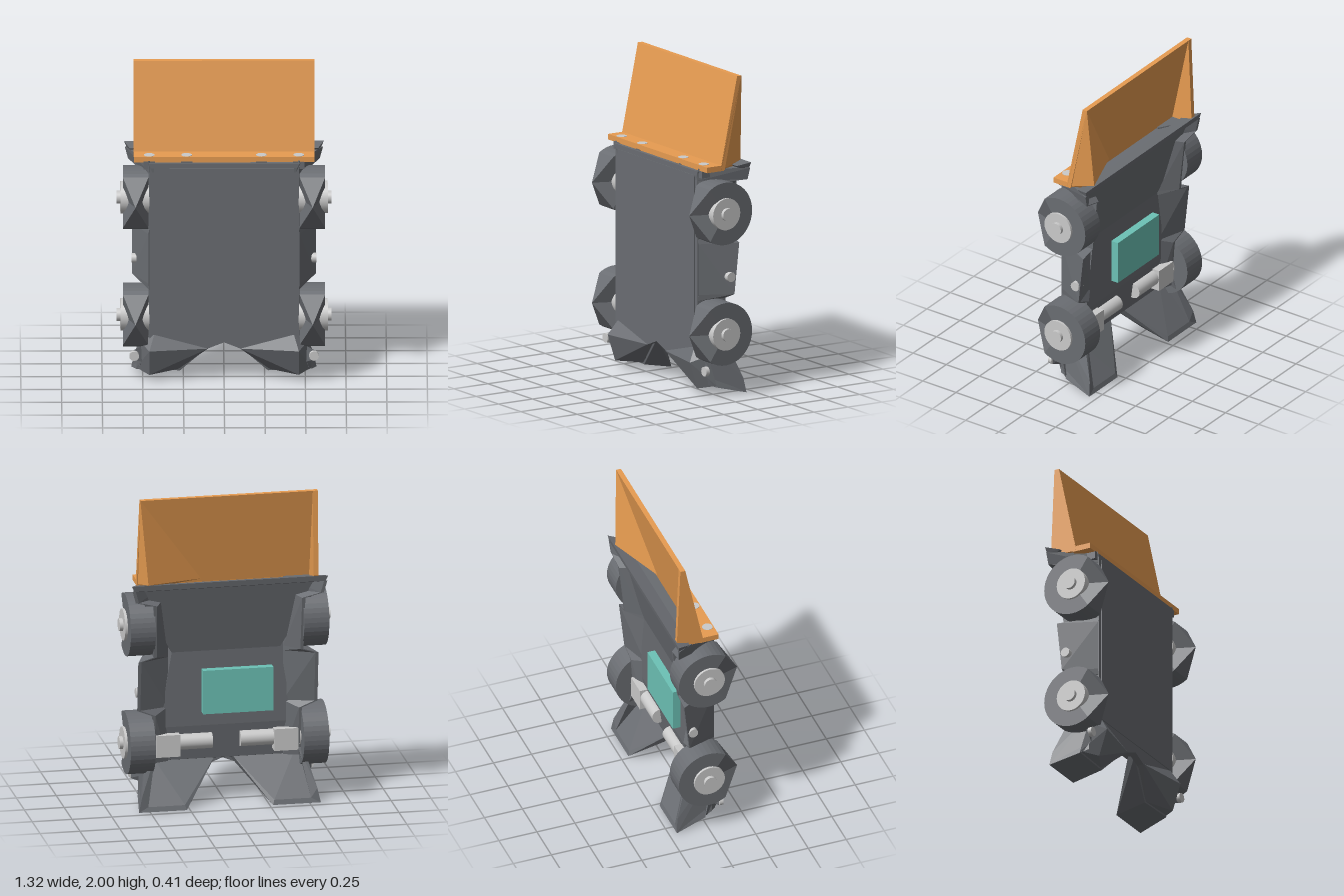
import * as THREE from 'three';
import { ConvexGeometry } from 'three/addons/geometries/ConvexGeometry.js';

const material = (name, color) => {
  const m = new THREE.MeshStandardMaterial({ color });
  m.name = name;
  return m;
};

export function createModel() {
  const group = new THREE.Group();
  const grey = material('dark grey', 0x6a6d72);
  const orange = material('orange', 0xea9e52);
  const silver = material('light grey', 0xcacaca);
  const teal = material('teal', 0x6cc2b6);

  const add = (name, geometry, mat, x = 0, y = 0, z = 0) => {
    const mesh = new THREE.Mesh(geometry, mat);
    mesh.name = name;
    mesh.position.set(x, y, z);
    group.add(mesh);
    return mesh;
  };
  const hull = (name, points, mat, side = 1) =>
    add(name, new ConvexGeometry(points.map(([x, y, z]) => new THREE.Vector3(x * side, y, z))), mat);
  const box = (name, w, h, d, mat, x, y, z) => add(name, new THREE.BoxGeometry(w, h, d), mat, x, y, z);
  // Cylinder along x from x0 to x1
  const rod = (name, r, x0, x1, y, z, side) => {
    const mesh = add(name, new THREE.CylinderGeometry(r, r, x1 - x0, 28), silver, side * (x0 + x1) / 2, y, z);
    mesh.rotation.z = Math.PI / 2;
  };

  // Main plate with the notched lower edge
  const half = [[0.46, 1.41], [0.46, 0.2], [0.43, 0.12], [0.22, 0.16], [0.1, 0.21]];
  const outline = [...half, [0, 0.25], ...half.slice().reverse().map(([x, y]) => [-x, y])];
  const plate = new THREE.Shape(outline.map(([x, y]) => new THREE.Vector2(x, y)));
  add('mainPlate', new THREE.ExtrudeGeometry(plate, { depth: 0.045, bevelEnabled: false }), grey, 0, 0, 0.042);
  box('frontPanel', 0.86, 1.08, 0.01, grey, 0, 0.84, 0.088);

  // Back floor, falling away to the notch
  hull('backFloor', [-1, 1].flatMap(s => [
    [s * 0.34, 0.98, -0.07], [s * 0.42, 0.5, -0.07], [s * 0.44, 0.28, -0.04],
    [s * 0.05, 0.28, 0], [s * 0.05, 0.25, 0.05], [s * 0.44, 0.25, 0.05], [s * 0.34, 0.98, 0.05],
  ]), grey);

  // Top ramp from the floor up to the raised rim
  hull('topRamp', [-1, 1].flatMap(s => [
    [s * 0.465, 1.41, 0.09], [s * 0.45, 1.38, 0.09], [s * 0.58, 1.42, -0.165],
    [s * 0.34, 0.98, -0.07], [s * 0.34, 0.98, 0.05],
  ]), grey);
  hull('topRim', [-1, 1].flatMap(s => [
    [s * 0.615, 1.46, -0.205], [s * 0.6, 1.425, -0.2], [s * 0.58, 1.41, -0.16], [s * 0.58, 1.44, -0.12],
  ]), grey);

  // Side walls: [height, front half width, back half width, back z]
  const levels = [
    [1.425, 0.465, 0.61, -0.2], [1.35, 0.46, 0.59, -0.195], [1.32, 0.46, 0.475, -0.19],
    [0.98, 0.46, 0.47, -0.155], [0.95, 0.465, 0.565, -0.15], [0.63, 0.465, 0.565, -0.115],
    [0.59, 0.46, 0.47, -0.112], [0.28, 0.46, 0.47, -0.09],
  ];
  const section = ([y, f, b, z]) => [[f, y, 0.085], [b, y, z], [b - 0.02, y, z], [0.36, y, -0.06], [0.4, y, 0.05]];

  for (const s of [1, -1]) {
    for (let i = 0; i < levels.length - 1; i++) {
      hull('sideWall', [...section(levels[i]), ...section(levels[i + 1])], grey, s);
    }

    // Forward tooth, sloping heel and heel wall at the lower corner
    hull('lowerTooth', [
      [0.1, 0.21, 0.09], [0.43, 0.3, 0.09], [0.46, 0.21, 0.145], [0.46, 0.04, 0.09],
      [0.28, 0.05, 0], [0.54, 0.06, 0], [0.52, 0.25, 0.05], [0.1, 0.21, 0.05],
    ], grey, s);
    hull('heelPlate', [
      [0.05, 0.25, 0.05], [0.05, 0.28, 0.01], [0.45, 0.3, 0], [0.27, 0, -0.2], [0.57, 0, -0.2],
      [0.28, 0.03, -0.19], [0.56, 0.03, -0.19], [0.27, 0.04, 0], [0.54, 0.05, 0],
    ], grey, s);
    hull('heelWall', [
      [0.57, 0, -0.2], [0.55, 0.09, -0.19], [0.48, 0.33, -0.1], [0.45, 0.33, -0.1],
      [0.48, 0.33, 0.05], [0.52, 0.07, 0.05], [0.51, 0.03, -0.19],
    ], grey, s);

    // Wheels: two half discs drawn out to a pinched point at the front
    for (const y of [1.16, 0.4]) {
      for (const up of [1, -1]) {
        const points = [[0.545, y, 0.205], [0.465, y, -0.01], [0.622, y, -0.01]];
        for (let i = 0; i <= 14; i++) {
          const a = THREE.MathUtils.degToRad(56 + i * 124 / 14);
          for (const x of [0.465, 0.622]) {
            points.push([x, y + up * 0.197 * Math.sin(a), -0.01 + 0.197 * Math.cos(a)]);
          }
        }
        hull('wheelHalf', points, grey, s);
      }
      rod('hub', 0.1, 0.458, 0.638, y, -0.01, s);
      rod('axle', 0.04, 0.45, 0.66, y, -0.01, s);
    }

    // Drive motor and gearbox
    rod('motor', 0.05, 0.088, 0.34, 0.4, -0.062, s);
    box('gearbox', 0.15, 0.14, 0.13, silver, s * 0.37, 0.39, -0.05);

    // Side and lower studs
    rod('sideStud', 0.03, 0.52, 0.57, 0.74, -0.09, s);
    const lowerStud = add('lowerStud', new THREE.CylinderGeometry(0.03, 0.03, 0.025, 20), silver, s * 0.553, 0.165, 0.09);
    lowerStud.rotation.x = Math.PI / 2;
    hull('studBracket', [
      [0.46, 0.24, 0.05], [0.46, 0.1, 0.05], [0.57, 0.19, 0.08], [0.57, 0.14, 0.08], [0.46, 0.18, 0.02],
    ], grey, s);

    // Blade bolts and the bosses below them
    for (const x of [0.23, 0.46]) {
      add('bladeBolt', new THREE.CylinderGeometry(0.033, 0.033, 0.04, 24), silver, s * x, 1.432, 0.042);
      box('boltBoss', 0.07, 0.05, 0.07, grey, s * x, 1.395, 0.045);
    }
  }

  // Battery on the back floor
  box('battery', 0.44, 0.28, 0.05, teal, -0.068, 0.725, -0.095);

  // Blade: mounting foot, leaning face, end gusset and corner brace
  box('bladeFoot', 1.11, 0.035, 0.125, orange, 0, 1.4325, 0.0175);
  hull('bladeFace', [-0.555, 0.555].flatMap(x => [
    [x, 1.42, -0.018], [x, 1.45, -0.024], [x, 2, -0.14], [x, 2, -0.172], [x, 1.42, -0.05],
  ]), orange);
  const gusset = (x, back) => [
    [x, 2, -0.14], [x, 2, -0.172], [back, 1.46, -0.195], [back, 1.42, -0.13], [x, 1.42, -0.02],
  ];
  hull('bladeGusset', [...gusset(-0.525, -0.525), ...gusset(-0.556, -0.556)], orange);
  hull('bladeBrace', [...gusset(0.556, 0.51), [0.13, 1.44, -0.045]], orange);

  return group;
}
